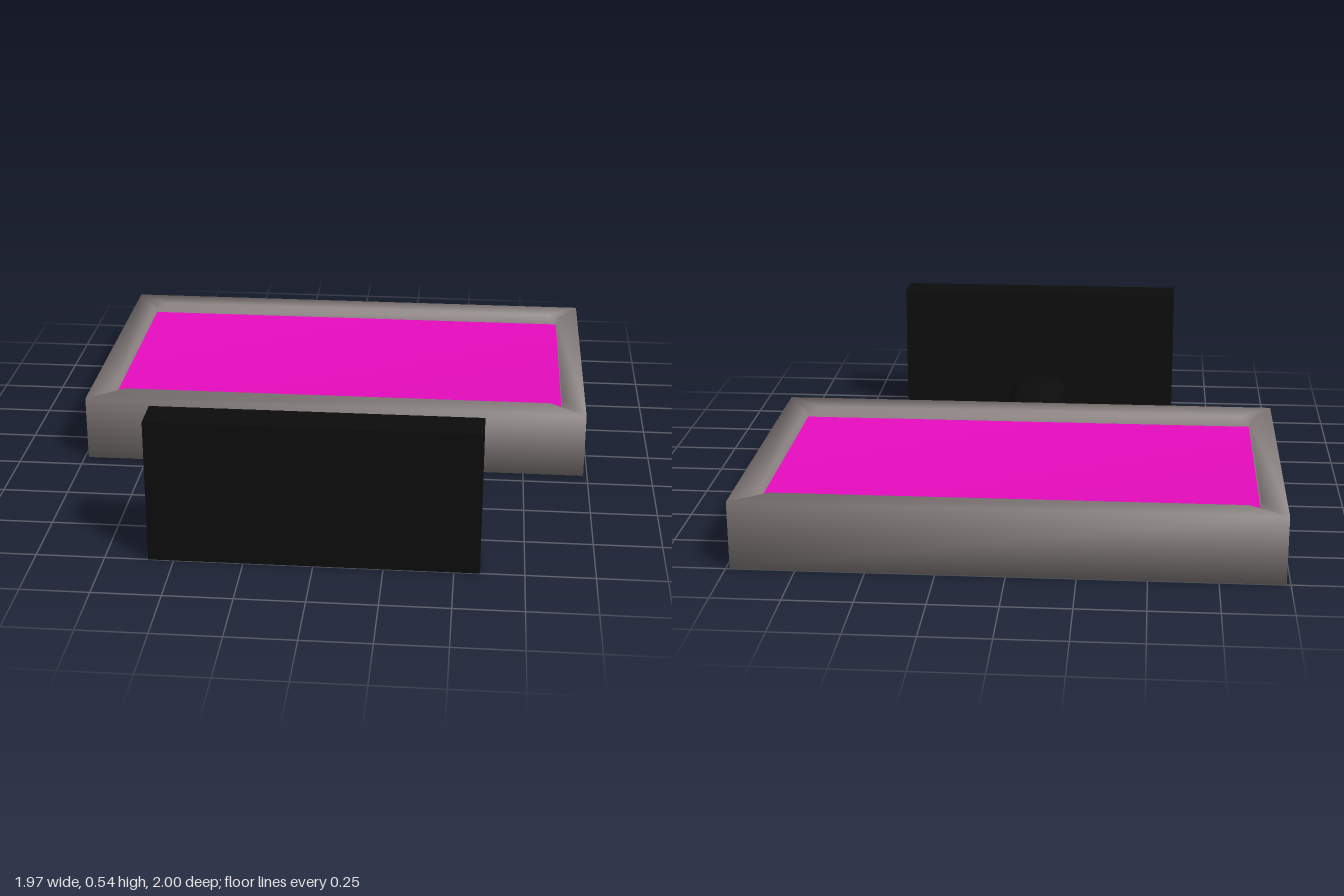
import * as THREE from 'three';

const material = (color) => new THREE.MeshStandardMaterial({ color });

// Corners of a horizontal rectangle, counter-clockwise seen from above
function rectangle(x, zFront, zBack, y) {
  return [[-x, zFront], [x, zFront], [x, zBack], [-x, zBack]]
    .map(([px, pz]) => new THREE.Vector3(px, y, pz));
}

// Display body: box with a raised rim, corner notches and a sunken screen,
// all sharing smooth normals
function createDisplay() {
  const top = 0.256;
  const outerBottom = rectangle(0.985, 0.185, -1, 0);
  const outerTop = rectangle(0.985, 0.185, -1, top);
  const screen = rectangle(0.895, 0.07, -0.9, 0.212);
  const points = [...outerBottom, ...outerTop, ...screen];

  const frameIndex = [];
  const screenIndex = [];
  const quad = (list, a, b, c, d) => list.push(a, b, c, a, c, d);

  for (let k = 0; k < 4; k++) {
    const j = (k + 1) % 4;
    const notch = 0.045 / screen[k].distanceTo(screen[j]);
    const a = points.length;
    const b = a + 1;
    // inner ridge of this side, stopping short of the corners
    points.push(
      screen[k].clone().lerp(screen[j], notch).setY(top),
      screen[j].clone().lerp(screen[k], notch).setY(top),
    );
    quad(frameIndex, k, j, j + 4, k + 4); // outer wall
    quad(frameIndex, k + 4, j + 4, b, a); // rim top
    quad(frameIndex, a, b, j + 8, k + 8); // inner wall
    frameIndex.push(k + 4, a, k + 8, b, j + 4, j + 8); // corner notches
  }
  quad(frameIndex, 3, 2, 1, 0); // underside
  quad(screenIndex, 8, 9, 10, 11);

  const whole = new THREE.BufferGeometry().setFromPoints(points);
  whole.setIndex([...frameIndex, ...screenIndex]);
  whole.computeVertexNormals();

  const part = (name, index, color) => {
    const geometry = whole.clone();
    geometry.setIndex(index);
    const mesh = new THREE.Mesh(geometry, material(color));
    mesh.name = name;
    return mesh;
  };
  const group = new THREE.Group();
  group.name = 'display';
  group.add(part('frame', frameIndex, 0x898180), part('screen', screenIndex, 0xe60cbe));
  return group;
}

// Stand: flattened round neck and a rectangular foot plate
function createStand() {
  const black = material(0x0c0c0c);
  const group = new THREE.Group();
  group.name = 'stand';

  const neckGeometry = new THREE.CylinderGeometry(1, 1, 0.72, 32);
  neckGeometry.rotateX(Math.PI / 2).scale(0.118, 0.057, 1);
  const neck = new THREE.Mesh(neckGeometry, black);
  neck.name = 'neck';
  neck.position.set(0, 0.101, 0.52);

  const foot = new THREE.Mesh(new THREE.BoxGeometry(1.185, 0.54, 0.138), black);
  foot.name = 'footPlate';
  foot.position.set(0, 0.27, 0.931);

  group.add(neck, foot);
  return group;
}

export function createModel() {
  const model = new THREE.Group();
  model.name = 'monitor';
  model.add(createDisplay(), createStand());
  return model;
}
